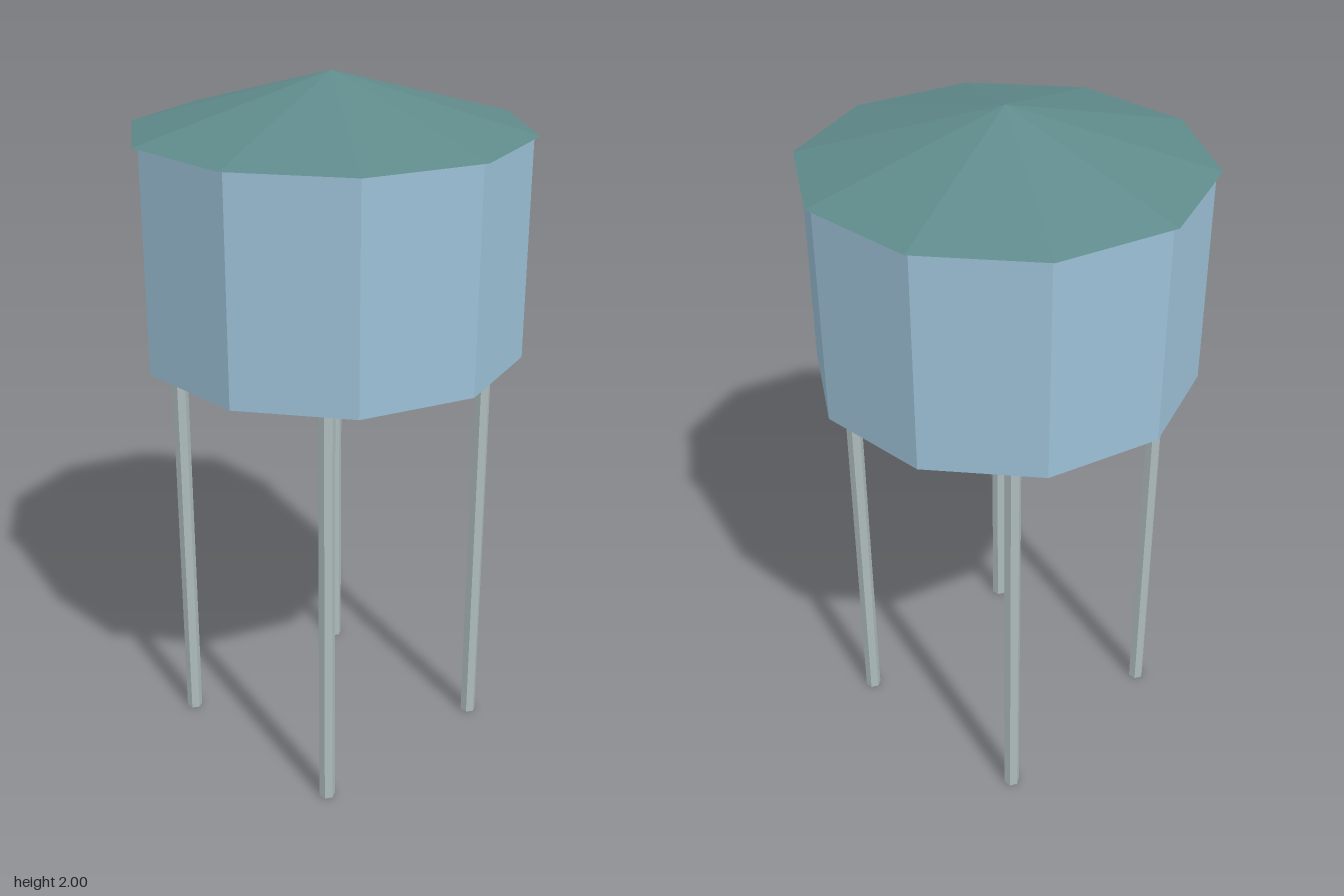
import * as THREE from 'three';

const U = 2 / 13; // modelling unit: the tower is 13 units tall
const SIDES = 10;

function part(name, geometry, color, x, y, z) {
  const mesh = new THREE.Mesh(geometry, new THREE.MeshStandardMaterial({ color, flatShading: true }));
  mesh.name = name;
  mesh.position.set(x, y, z);
  return mesh;
}

export function createModel() {
  const tower = new THREE.Group();
  tower.name = 'waterTower';

  // Four slim six-sided legs
  const legGeometry = new THREE.CylinderGeometry(0.15 * U, 0.15 * U, 8 * U, 6);
  for (const sx of [-1, 1]) {
    for (const sz of [-1, 1]) {
      const name = (sz > 0 ? 'front' : 'back') + (sx > 0 ? 'Left' : 'Right') + 'Leg';
      tower.add(part(name, legGeometry, 0xaebbbc, sx * 2 * U, 4 * U, sz * 2 * U));
    }
  }

  // Ten-sided tank
  const tankGeometry = new THREE.CylinderGeometry(3.5 * U, 3.5 * U, 4 * U, SIDES);
  tower.add(part('tank', tankGeometry, 0x9bc0d6, 0, 10 * U, 0));

  // Shallow roof with a slight overhang
  const roofGeometry = new THREE.ConeGeometry(3.6 * U, U, SIDES);
  tower.add(part('roof', roofGeometry, 0x5f8a8b, 0, 12.5 * U, 0));

  return tower;
}
